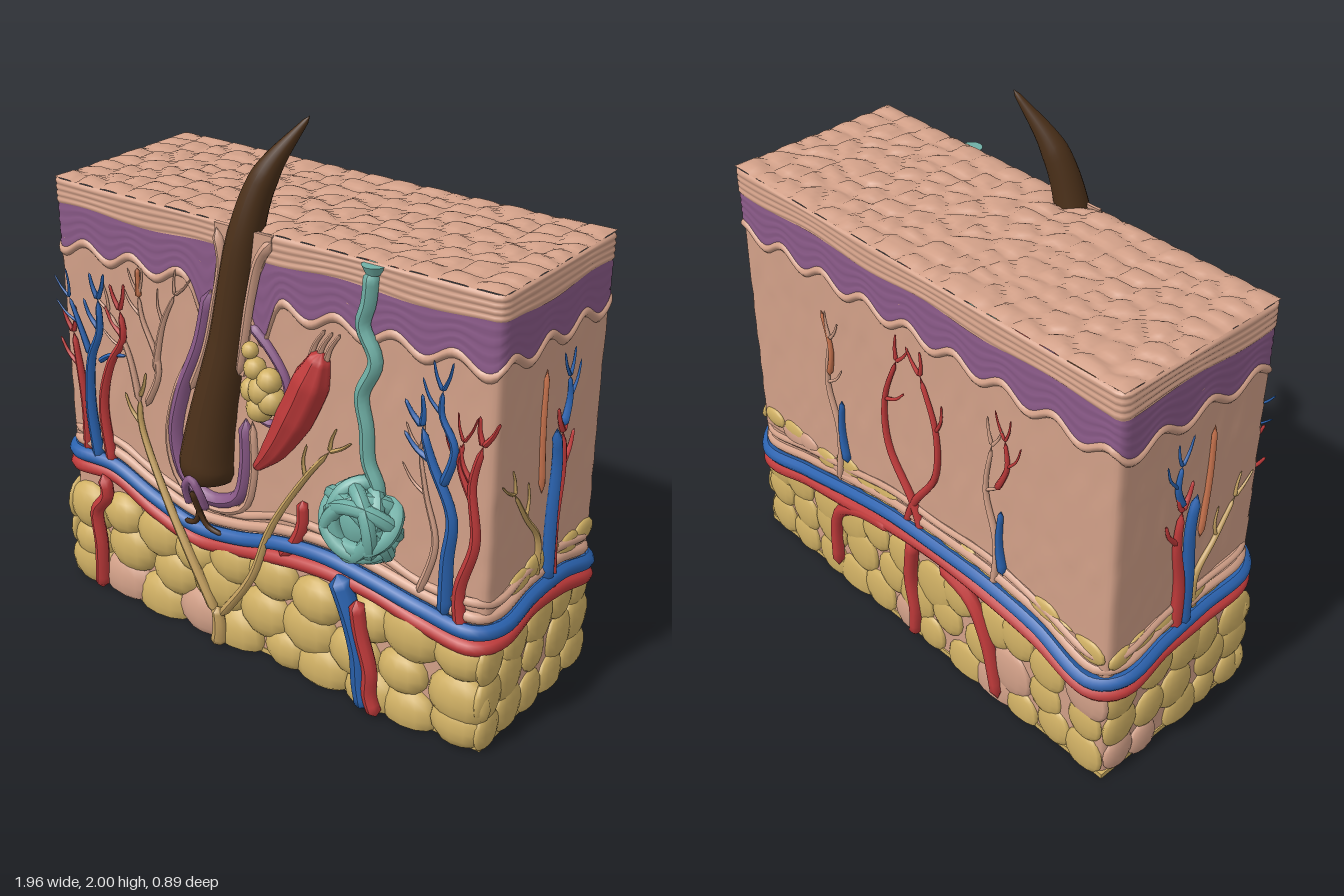
import * as THREE from 'three';
import { mergeGeometries } from 'three/addons/utils/BufferGeometryUtils.js';

const X0 = -0.925, X1 = 0.915, Z0 = -0.405, Z1 = 0.295, W = X1 - X0, D = Z1 - Z0, PERIM = 2 * (W + D);
const { lerp, clamp } = THREE.MathUtils;
const mat = (name, color) => Object.assign(new THREE.MeshStandardMaterial({ color }), { name });

// Map (position along a side, height, distance out of the wall) to space
const FACE = {
  front: (u, y, d) => new THREE.Vector3(u, y, Z1 + d),
  right: (u, y, d) => new THREE.Vector3(X1 + d, y, u),
  back: (u, y, d) => new THREE.Vector3(u, y, Z0 - d),
  left: (u, y, d) => new THREE.Vector3(X0 - d, y, u),
};

// Point and outward normal on the rounded outline, s running along the perimeter
function outline(s, r = 0.03) {
  let x = X0, z = Z0 + (s - 2 * W - D);
  if (s < W) [x, z] = [X0 + s, Z1];
  else if (s < W + D) [x, z] = [X1, Z1 - (s - W)];
  else if (s < 2 * W + D) [x, z] = [X1 - (s - W - D), Z0];
  const qx = clamp(x, X0 + r, X1 - r), qz = clamp(z, Z0 + r, Z1 - r);
  const l = Math.hypot(x - qx, z - qz) || 1, nx = (x - qx) / l, nz = (z - qz) / l;
  return { x: qx + nx * r, z: qz + nz * r, nx, nz };
}

// Wall running round the block between two heights
function wall(lo, hi, off, rows, cols = 300) {
  const pos = [], idx = [];
  for (let j = 0; j <= rows; j++) for (let i = 0; i <= cols; i++) {
    const s = (i % cols) / cols * PERIM, t = j / rows, o = outline(s), y = lerp(lo(s), hi(s), t), d = off(s, t, y);
    pos.push(o.x + o.nx * d, y, o.z + o.nz * d);
    const a = j * (cols + 1) + i, b = a + cols + 1;
    if (i < cols && j < rows) idx.push(a, a + 1, b + 1, a, b + 1, b);
  }
  const g = new THREE.BufferGeometry().setIndex(idx);
  g.setAttribute('position', new THREE.Float32BufferAttribute(pos, 3));
  g.computeVertexNormals();
  return g;
}

// Tube whose radius follows a list, with closed ends and optional ridges
function loft(points, radii, sides = 7, seg = points.length * 4, closed = false, ridge = 0) {
  const curve = new THREE.CatmullRomCurve3(points, closed), c = new THREE.Vector3(), v = new THREE.Vector3();
  const g = new THREE.TubeGeometry(curve, seg, 1, sides, closed), p = g.attributes.position;
  for (let i = 0; i <= seg; i++) {
    const k = curve.getUtoTmapping(i / seg) * (radii.length - 1), a = Math.min(Math.floor(k), radii.length - 1);
    const end = !closed && (i === 0 || i === seg);
    const r = end ? 0.0005 : lerp(radii[a], radii[Math.min(a + 1, radii.length - 1)], k - a);
    curve.getPointAt(i / seg, c);
    for (let j = 0; j <= sides; j++) {
      const n = i * (sides + 1) + j;
      v.fromBufferAttribute(p, n).sub(c).multiplyScalar(r * (1 + ridge * Math.cos(j / sides * Math.PI * 16))).add(c);
      p.setXYZ(n, v.x, v.y, v.z);
    }
  }
  g.computeVertexNormals();
  return g;
}

// Ellipsoid flattened where it meets the ground
function blob(c, sx, sy, sz) {
  const g = new THREE.SphereGeometry(1, 12, 8).scale(sx, sy, sz).translate(c.x, c.y, c.z), p = g.attributes.position;
  for (let i = 0; i < p.count; i++) p.setY(i, Math.max(0, p.getY(i)));
  return g;
}

export function createModel() {
  const root = new THREE.Group();
  root.name = 'skinSection';
  const skin = mat('skin', 0xd2a088), purple = mat('epidermisPurple', 0x8a5a88), fat = mat('fatYellow', 0xd0b064);
  const red = mat('arteryRed', 0xbf3a3a), blue = mat('veinBlue', 0x2a62ae), teal = mat('glandTeal', 0x70b0a6);
  const brown = mat('hairBrown', 0x4b3019), nerve = mat('nerveTan', 0xc4a060), orange = mat('capillaryOrange', 0xc9744e);
  let seed = 7;
  const rnd = (a = 0, b = 1) => { seed = (seed * 16807) % 2147483647; return a + (b - a) * seed / 2147483647; };
  const add = (name, g, m) => root.add(Object.assign(new THREE.Mesh(g, m), { name }));
  const onFace = (face, pts, d) => pts.map(p => FACE[face](p[0], p[1], p[2] ?? d));
  const tube = (name, face, m, r0, r1, pts, d = 0.01) => add(name, loft(onFace(face, pts, d), [r0, r1]), m);

  // Branching vessel: tapering stem with twigs at the tip
  function tree(name, face, m, r, pts, d = 0.012) {
    tube(name, face, m, r, r * 0.45, pts, d);
    const [prev, tip] = pts.slice(-2), ang = Math.atan2(tip[1] - prev[1], tip[0] - prev[0]);
    for (const [b, da, len] of [[tip, 0.45, 0.1], [tip, -0.4, 0.11], [prev, 0.75, 0.13]]) {
      const q = k => [b[0] + Math.cos(ang + da * (1.3 - k * 0.5)) * len * k, b[1] + Math.sin(ang + da * (1.3 - k * 0.5)) * len * k];
      tube(name + 'Twig', face, m, r * 0.45, r * 0.2, [b, q(0.5), q(1)], d);
    }
  }

  // Dermis wall and base
  const bumps = (s, t, y) => 0.003 * Math.sin(s * 31 + 4 * Math.sin(y * 9)) * Math.sin(y * 27 + 3 * Math.sin(s * 11));
  add('dermis', wall(() => 0.005, () => 1.47, bumps, 24), skin);
  add('base', new THREE.BoxGeometry(W + 0.01, 0.02, D + 0.01).translate((X0 + X1) / 2, 0.01, (Z0 + Z1) / 2), fat);

  // Epidermis layers with a wavy underside that dips beside the hair
  const dip = s => [-0.22, 0.02].reduce((a, c) => a + 0.13 * Math.exp(-(((s + X0 - c) / 0.045) ** 2)), 0);
  const wave = s => 1.4 + 0.026 * Math.cos(s / PERIM * Math.PI * 46 + 2.4) - dip(s);
  const upper = s => 1.54 + 0.008 * Math.sin(s / PERIM * Math.PI * 18);
  add('epidermisBand', wall(wave, upper, (s, t) => 0.004 + 0.0015 * Math.sin(t * 25), 14), purple);
  add('basalLine', wall(s => wave(s) - 0.035, s => wave(s) + 0.004, (s, t) => 0.013 * Math.sin(t * Math.PI), 5), skin);
  add('hornyLayer', wall(s => upper(s) - 0.004, () => 1.627,
    (s, t) => 0.003 + 0.005 * Math.abs(Math.sin(t * Math.PI * 4 + 0.5 * Math.sin(s * 8))) - (t === 1 ? 0.006 : 0), 20), skin);

  // Cobbled skin surface, sunk a little at the hair
  const cells = [];
  for (let i = 0; i < 17; i++) for (let j = 0; j < 8; j++)
    cells.push([X0 + (i + rnd(0.1, 0.9)) * W / 17, Z0 + (j + rnd(0.2, 0.8)) * D / 8]);
  const top = new THREE.PlaneGeometry(W, D, 110, 44).rotateX(-Math.PI / 2).translate((X0 + X1) / 2, 0, (Z0 + Z1) / 2);
  const tp = top.attributes.position;
  for (let i = 0; i < tp.count; i++) {
    const x = tp.getX(i), z = tp.getZ(i);
    const [a, b] = cells.map(c => Math.hypot(c[0] - x, c[1] - z)).sort((m, n) => m - n);
    const edge = Math.min(1, Math.min(x - X0, X1 - x, z - Z0, Z1 - z) / 0.03);
    tp.setY(i, 1.622 + 0.021 * Math.sqrt(Math.min(1, (b - a) / 0.05)) * (0.4 + 0.6 * edge)
      - 0.03 * Math.exp(-((x + 0.07) ** 2 + (z - 0.29) ** 2) / 0.006));
  }
  top.computeVertexNormals();
  add('skinSurface', top, skin);

  // Fat lobules in rows on every side
  const lobules = [], pale = [];
  const fatRow = (face, n, y, u0, u1, ru, ry, rd, list = lobules) => {
    for (let i = 0; i < n; i++) {
      const k = rnd(0.85, 1.15), u = lerp(u0, u1, (i + (i > 0 && i < n - 1 ? rnd(-0.2, 0.2) : 0)) / (n - 1));
      const end = face === 'left' || face === 'right', c = FACE[face](u, y + rnd(-0.025, 0.025), 0);
      (rnd() < 0.93 ? list : pale).push(blob(c, end ? rd : ru * k, ry * k, end ? ru * k : rd));
    }
  };
  [0.06, 0.2, 0.34].forEach((y, j) => {
    fatRow('front', 10 - j % 2, y, -0.84, 0.83, 0.115, 0.1, 0.06);
    fatRow('back', 12 - j % 2, y, -0.84, 0.83, 0.09, 0.095, 0.025);
    for (const f of ['right', 'left']) fatRow(f, 5, y, -0.33, 0.26, 0.08, 0.09, 0.027);
  });
  fatRow('back', 16, 0.57, -0.84, 0.83, 0.07, 0.045, 0.016);
  for (const f of ['right', 'left']) fatRow(f, 5, 0.56, -0.34, 0.1, 0.07, 0.045, 0.018);
  fatRow('back', 5, 0.53, -0.75, 0.7, 0.08, 0.045, 0.018, pale);
  add('fatLobules', mergeGeometries(lobules), fat);
  add('paleLobules', mergeGeometries(pale), skin);

  // Main vessels and tissue folds circling the block
  const sides = [
    ['front', -0.88, 0.88, [0.56, 0.56, 0.49, 0.44, 0.46, 0.51, 0.53, 0.51, 0.48, 0.47]],
    ['right', 0.24, -0.35, [0.47, 0.49, 0.48, 0.43]],
    ['back', 0.86, -0.87, [0.41, 0.45, 0.5, 0.54, 0.55, 0.55, 0.52, 0.45]],
    ['left', -0.35, 0.24, [0.46, 0.5, 0.53, 0.55]],
  ];
  const ring = (name, m, r, dy, d) => add(name, loft(sides.flatMap(([f, a, b, ys]) =>
    ys.map((y, i) => FACE[f](lerp(a, b, i / (ys.length - 1)), y + dy(i), d))), [r, r], 8, 200, true), m);
  ring('mainVein', blue, 0.027, () => 0, 0.022);
  ring('mainArtery', red, 0.027, i => -0.055 + 0.008 * Math.sin(i * 2), 0.02);
  ring('lowerFold', skin, 0.02, () => 0.045, 0.002);
  ring('upperFold', skin, 0.016, i => 0.09 + 0.01 * Math.sin(i * 3), 0);

  // Front vessels
  tree('artery', 'front', red, 0.023, [[-0.83, 0.54], [-0.83, 0.75], [-0.85, 0.92], [-0.87, 1.05]]);
  tree('artery', 'front', red, 0.023, [[-0.7, 0.54], [-0.73, 0.8], [-0.68, 0.98], [-0.61, 1.1], [-0.62, 1.2]], 0.018);
  tree('artery', 'front', red, 0.025, [[0.84, 0.43], [0.82, 0.6], [0.87, 0.8], [0.85, 1.0], [0.88, 1.14]], 0.02);
  tree('artery', 'front', red, 0.014, [[0.86, 0.92], [0.8, 1.05], [0.81, 1.13]], 0.016);
  tree('vein', 'front', blue, 0.024, [[-0.76, 0.54], [-0.79, 0.78], [-0.77, 0.98], [-0.72, 1.1], [-0.72, 1.22]], 0.025);
  tree('vein', 'front', blue, 0.014, [[-0.78, 0.98], [-0.83, 1.1], [-0.87, 1.19]], 0.02);
  tree('vein', 'front', blue, 0.027, [[0.77, 0.48], [0.77, 0.7], [0.78, 0.86], [0.7, 1.03], [0.66, 1.14]], 0.018);
  tree('vein', 'front', blue, 0.017, [[0.74, 0.95], [0.78, 1.1], [0.73, 1.2], [0.73, 1.28]], 0.018);
  tube('veinTwig', 'front', blue, 0.012, 0.006, [[-0.74, 0.97], [-0.68, 1.01], [-0.6, 1.03]], 0.02);
  tube('deepArtery', 'front', red, 0.028, 0.026, [[-0.77, 0], [-0.76, 0.2], [-0.77, 0.35], [-0.71, 0.44], [-0.73, 0.52]], 0.05);
  tube('deepVein', 'front', blue, 0.04, 0.04, [[0.36, 0.5], [0.42, 0.36], [0.46, 0.22], [0.47, 0.1], [0.49, 0]], 0.045);
  tube('deepArtery', 'front', red, 0.028, 0.028, [[0.45, 0.44], [0.47, 0.32], [0.51, 0.18], [0.51, 0.08], [0.54, 0]], 0.06);
  tube('arteryStub', 'front', red, 0.026, 0.02, [[0.1, 0.46], [0.16, 0.54], [0.19, 0.62], [0.19, 0.71]], 0.015);

  // Nerves and fine skin-toned fibres on the front
  tube('nerveRoot', 'front', nerve, 0.03, 0.022, [[-0.17, 0], [-0.16, 0.08], [-0.17, 0.16]], 0.06);
  tree('nerve', 'front', nerve, 0.021, [[-0.17, 0.12, 0.06], [-0.3, 0.35, 0.06], [-0.43, 0.55, 0.04], [-0.55, 0.77], [-0.55, 0.88]]);
  tree('nerve', 'front', nerve, 0.019, [[-0.16, 0.12, 0.06], [0, 0.36, 0.06], [0.06, 0.56, 0.03], [0.2, 0.8], [0.3, 0.93]]);
  for (const p of [[[-0.52, 0.85], [-0.45, 1.02], [-0.52, 1.2], [-0.53, 1.28]], [[-0.55, 0.85], [-0.6, 1.05], [-0.68, 1.18]],
    [[-0.47, 1.0], [-0.42, 1.2], [-0.36, 1.32]], [[0.66, 0.52], [0.72, 0.74], [0.68, 0.9], [0.65, 1.05]]]) tree('fibre', 'front', skin, 0.015, p);
  tube('capillaryTip', 'front', orange, 0.012, 0.008, [[-0.53, 1.27], [-0.53, 1.32], [-0.53, 1.38]], 0.012);

  // Vessels on the two ends
  for (const f of ['right', 'left']) {
    tree('artery', f, red, 0.025, [[-0.1, 0.42], [-0.09, 0.7], [-0.12, 0.9], [-0.11, 1.03]]);
    tube('vein', f, blue, 0.024, 0.016, [[-0.06, 0.48], [-0.06, 0.75], [-0.07, 0.95], [-0.05, 1.07]], 0.02);
    tree('vein', f, blue, 0.015, [[-0.11, 1.05], [-0.14, 1.14], [-0.13, 1.22]]);
    tube('capillary', f, orange, 0.012, 0.009, [[0, 0.85], [0.02, 1.1], [0.02, 1.3]], 0.008);
    tree('nerve', f, nerve, 0.015, [[0, 0.52], [0, 0.68], [0.09, 0.8], [0.17, 0.92]], 0.006);
  }
  // Vessels on the back
  for (const p of [[[0.1, 0.48], [0.3, 0.44], [0.43, 0.35], [0.46, 0.06]], [[0, 0.5], [0.02, 0.3], [0, 0.15], [0.01, 0.01]],
    [[-0.14, 0.48], [-0.3, 0.42], [-0.38, 0.28], [-0.44, 0.02]]]) tube('deepArtery', 'back', red, 0.027, 0.024, p, 0.024);
  for (const k of [1, -1]) tree('artery', 'back', red, 0.018, [[-0.05 * k, 0.52], [0, 0.66], [0.12 * k, 0.85], [0.13 * k, 1.05], [0.06 * k, 1.24]]);
  for (const x of [0.42, -0.4]) {
    tree('fibre', 'back', skin, 0.016, [[x, 0.5], [x - 0.02, 0.75], [x + 0.03, 0.95], [x, 1.15]]);
    tube('vein', 'back', blue, 0.018, 0.01, [[x - 0.05, 0.62], [x - 0.03, 0.75], [x - 0.04, 0.9]]);
  }
  tree('artery', 'back', red, 0.013, [[-0.42, 0.98], [-0.47, 1.1], [-0.46, 1.2]]);
  tube('capillary', 'back', orange, 0.012, 0.007, [[0.44, 0.98], [0.42, 1.1], [0.46, 1.25]]);

  // Hair follicle: lining, sheath and rims
  const pocket = new THREE.Shape([[-0.17, 1.625], [-0.165, 1.5], [-0.2, 1.3], [-0.25, 1.1], [-0.06, 1.1], [-0.03, 1.3], [0, 1.45], [0.05, 1.56], [0.07, 1.625]]
    .map(p => new THREE.Vector2(...p)));
  add('follicleLining', new THREE.ExtrudeGeometry(pocket, { depth: 0.012, bevelEnabled: false }).translate(0, 0, Z1), skin);
  const sheath = [[-0.2, 1.38], [-0.25, 1.18], [-0.345, 0.96], [-0.385, 0.77], [-0.34, 0.62], [-0.22, 0.57], [-0.1, 0.62], [-0.06, 0.76], [-0.06, 0.94]];
  tube('follicleSheath', 'front', purple, 0.03, 0.027, sheath, 0.004);
  tube('follicleRim', 'front', skin, 0.015, 0.015, sheath.map(([x, y]) => [-0.22 + (x + 0.22) * 1.2, y - (y < 0.8 ? 0.035 : 0)]), 0.008);
  tube('follicleLip', 'front', skin, 0.02, 0.015, [[-0.16, 1.61], [-0.14, 1.5], [-0.17, 1.35], [-0.22, 1.16], [-0.3, 0.98]], 0.014);
  tube('follicleLip', 'front', skin, 0.02, 0.015, [[0.07, 1.61], [0.02, 1.54], [-0.02, 1.4], [-0.05, 1.25], [-0.08, 1.1]], 0.014);

  // Hair with papilla and root vessels
  const hairPath = [[-0.235, 0.635, 0.29], [-0.235, 0.71, 0.29], [-0.205, 0.9, 0.285], [-0.135, 1.2, 0.28], [-0.06, 1.6, 0.28], [0, 1.8, 0.25], [0.125, 1.998, 0.18]];
  add('hair', loft(hairPath.map(p => new THREE.Vector3(...p)), [0.085, 0.113, 0.097, 0.077, 0.06, 0.047, 0.006], 20, 64), brown);
  tube('papilla', 'front', purple, 0.015, 0.015, [[-0.275, 0.56, 0.07], [-0.265, 0.65, 0.1], [-0.235, 0.69, 0.105], [-0.205, 0.65, 0.1], [-0.195, 0.56, 0.07]]);
  for (const k of [1, -1]) tube('rootVessel', 'front', brown, 0.013, 0.009, [[-0.235, 0.64, 0.1], [-0.24, 0.54, 0.06], [-0.24 + k * 0.03, 0.48, 0.05], [-0.24 + k * 0.09, 0.46, 0.04]]);

  // Oil gland and its sheath
  const lobes = [[-0.01, 1.22, 0.03], [0.01, 1.16, 0.04], [0.07, 1.13, 0.045], [0, 1.08, 0.045], [0.08, 1.06, 0.05], [0.03, 1.02, 0.05], [0.045, 1.09, 0.055]];
  add('oilGland', mergeGeometries(lobes.map(([x, y, r]) => blob(FACE.front(x, y, 0.035), r, r, r))), fat);
  tube('oilGlandSheath', 'front', purple, 0.018, 0.014, [[-0.03, 1.3], [0.05, 1.23], [0.12, 1.13], [0.125, 1.02], [0.06, 0.955], [-0.04, 0.98]], 0.006);

  // Hair muscle with ridged fibres
  add('hairMuscle', loft(onFace('front', [[-0.02, 0.76], [0.07, 0.87], [0.16, 1.02], [0.23, 1.17], [0.27, 1.28]], 0.012),
    [0.012, 0.045, 0.066, 0.066, 0.03], 32, 32, false, 0.05), red);
  for (const k of [-0.03, 0, 0.03]) tube('muscleTendon', 'front', skin, 0.012, 0.006, [[0.25 + k, 1.24], [0.27 + k, 1.3], [0.31 + k, 1.36]]);

  // Sweat gland: wavy duct, pore and coiled ball
  const duct = [[0.46, 1.61], [0.45, 1.5], [0.43, 1.42], [0.48, 1.31], [0.43, 1.18], [0.45, 1.07], [0.46, 0.95], [0.5, 0.86], [0.48, 0.78]];
  tube('sweatDuct', 'front', teal, 0.026, 0.026, duct, 0.015);
  add('sweatPore', new THREE.CylinderGeometry(0.04, 0.025, 0.03, 20).translate(0.46, 1.607, Z1 + 0.005), teal);
  const coil = Array.from({ length: 96 }, (_, i) => {
    const t = i / 96 * Math.PI * 2, x = Math.cos(t * 8), s = Math.sin(t * 8), R = 0.128 + 0.012 * Math.sin(t * 13);
    const v = new THREE.Vector3(x, s * 0.6, s * 0.6).applyAxisAngle(new THREE.Vector3(0, 0, 1), t);
    return new THREE.Vector3(0.45, 0.735, 0.32).addScaledVector(v, R);
  });
  add('sweatCoil', loft(coil, [0.027, 0.027], 8, 360, true), teal);
  add('sweatCoilCore', blob(new THREE.Vector3(0.45, 0.735, 0.32), 0.11, 0.12, 0.075), teal);
  return root;
}
